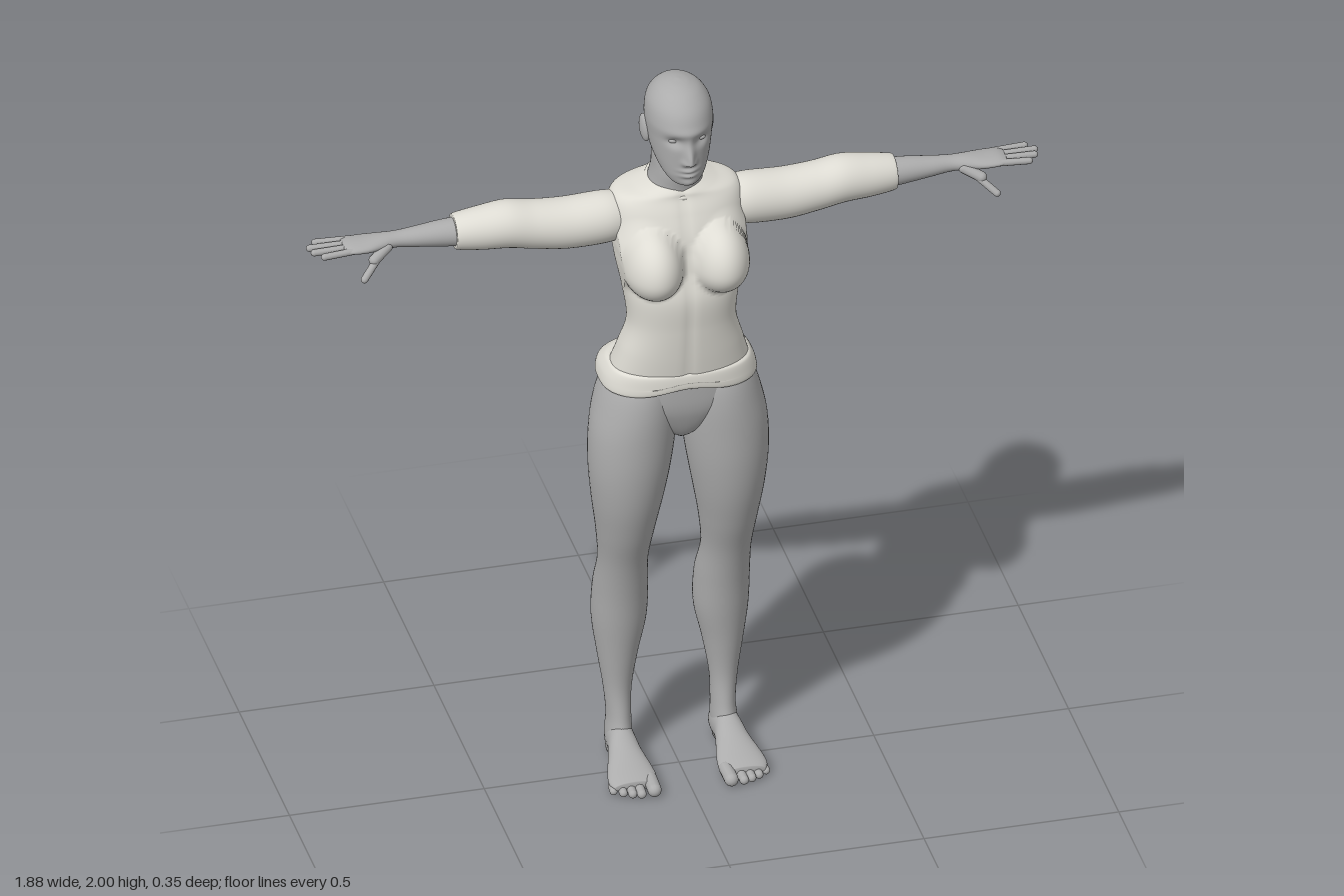
import * as THREE from 'three';

const skin = new THREE.MeshStandardMaterial({ color: 0xacacac });
skin.name = 'skin grey';
const cloth = new THREE.MeshStandardMaterial({ color: 0xdedcd4 });
cloth.name = 'cloth off-white';

const bell = (d, w) => Math.exp(-((d / w) ** 2));

function catmull(a, b, c, d, t) {
  return 0.5 * (2 * b + (c - a) * t + (2 * a - 5 * b + 4 * c - d) * t * t + (3 * b - a - 3 * c + d) * t * t * t);
}

// Smooth skin through sections [t, aMin, aMax, bMin, bMax] along an axis, t ascending.
// Axis y: a = x, b = z.  Axis x: a = z, b = y.  Axis z: a = y, b = x.
function loft(axis, sections, { rings = 40, sides = 40, power = 2, warp } = {}) {
  const pos = [], index = [], n = sections.length;
  const put = (t, a, b) => {
    const p = axis === 'y' ? new THREE.Vector3(a, t, b)
      : axis === 'x' ? new THREE.Vector3(t, b, a) : new THREE.Vector3(b, a, t);
    if (warp) warp(p);
    pos.push(p.x, p.y, p.z);
  };
  const round = (v) => Math.sign(v) * Math.abs(v) ** (2 / power);
  const at = (u) => {
    const i = Math.min(n - 2, Math.floor(u * (n - 1))), f = u * (n - 1) - i;
    const s = (k) => sections[Math.max(0, Math.min(n - 1, k))];
    return sections[0].map((_, c) => catmull(s(i - 1)[c], s(i)[c], s(i + 1)[c], s(i + 2)[c], f));
  };
  for (let i = 0; i <= rings; i++) {
    const [t, a0, a1, b0, b1] = at(i / rings);
    for (let j = 0; j < sides; j++) {
      const w = (j / sides) * Math.PI * 2;
      put(t, (a0 + a1) / 2 + ((a1 - a0) / 2) * round(Math.cos(w)), (b0 + b1) / 2 + ((b1 - b0) / 2) * round(Math.sin(w)));
    }
  }
  for (let i = 0; i < rings; i++) for (let j = 0; j < sides; j++) {
    const p = i * sides + j, q = i * sides + (j + 1) % sides;
    index.push(p, p + sides, q, q, p + sides, q + sides);
  }
  // End caps
  for (const [s, ring] of [[sections[0], 0], [sections[n - 1], rings]]) {
    put(s[0], (s[1] + s[2]) / 2, (s[3] + s[4]) / 2);
    const c = pos.length / 3 - 1;
    for (let j = 0; j < sides; j++) {
      const p = ring * sides + j, q = ring * sides + (j + 1) % sides;
      index.push(c, ...(ring ? [q, p] : [p, q]));
    }
  }
  const g = new THREE.BufferGeometry();
  g.setAttribute('position', new THREE.Float32BufferAttribute(pos, 3));
  g.setIndex(index);
  g.computeVertexNormals();
  return g;
}

const ellipsoid = (x, y, z, rx, ry, rz) =>
  new THREE.SphereGeometry(1, 28, 20).scale(rx, ry, rz).translate(x, y, z);

function finger(from, to, r) {
  const a = new THREE.Vector3(...from), b = new THREE.Vector3(...to), d = b.clone().sub(a);
  const g = new THREE.CapsuleGeometry(r, d.length() - r, 6, 12);
  g.applyQuaternion(new THREE.Quaternion().setFromUnitVectors(new THREE.Vector3(0, 1, 0), d.normalize()));
  return g.translate((a.x + b.x) / 2, (a.y + b.y) / 2, (a.z + b.z) / 2);
}

// Baked mirror image across x = 0
function mirrored(g) {
  const m = g.clone(), p = m.attributes.position, nn = m.attributes.normal, ix = m.index;
  for (let i = 0; i < p.count; i++) { p.setX(i, -p.getX(i)); nn.setX(i, -nn.getX(i)); }
  for (let i = 0; i < ix.count; i += 3) {
    const k = ix.getX(i);
    ix.setX(i, ix.getX(i + 1));
    ix.setX(i + 1, k);
  }
  return m;
}

// Nose, eye sockets, brow, lips and chin
function shapeFace(p) {
  if (p.z < 0.03) return;
  const { x, y } = p, ax = Math.abs(x);
  p.z += 0.024 * bell(x, 0.012) * bell(y - 1.826, y < 1.826 ? 0.011 : 0.038)
    + 0.007 * bell(ax - 0.013, 0.007) * bell(y - 1.822, 0.009)
    - 0.013 * bell(ax - 0.034, 0.019) * bell(y - 1.878, 0.014)
    + 0.004 * bell(x, 0.05) * bell(y - 1.905, 0.012)
    + 0.008 * bell(x, 0.02) * (bell(y - 1.798, 0.006) + bell(y - 1.783, 0.006))
    + 0.006 * bell(x, 0.02) * bell(y - 1.758, 0.012);
}

// Bust, spine groove and midline of the top
function shapeTorso(p) {
  if (p.z < -0.03) {
    p.z += 0.014 * bell(p.x, 0.025) * bell(p.y - 1.42, 0.2);
    return;
  }
  if (p.z < 0) return;
  const dx = (Math.abs(p.x) - 0.085) / 0.076, dy = (p.y - 1.508) / (p.y > 1.508 ? 0.108 : 0.082);
  const q = 1 - dx * dx - dy * dy, b = q > 0 ? 0.06 + 0.115 * Math.sqrt(q) : 0.06 + 0.06 * q;
  const k = 0.02, h = Math.max(k - Math.abs(p.z - b), 0) / k;
  p.z = Math.max(p.z, b) + (h * h * k) / 4 - 0.004 * bell(p.x, 0.012);
}

// Lifted front hem and cleft back of the waistband
function shapeBand(p) {
  if (p.z > 0 && p.y < 1.16) p.y += 0.018 * bell(p.x, 0.08);
  if (p.z < -0.05) p.z += 0.03 * bell(p.x, 0.025);
}

export function createModel() {
  const model = new THREE.Group();
  model.name = 'figure';
  const add = (name, g, mat = skin) => {
    const m = new THREE.Mesh(g, mat);
    m.name = name;
    model.add(m);
  };
  const pair = (name, g, mat) => {
    add(name + 'Left', g, mat);
    add(name + 'Right', mirrored(g), mat);
  };

  // Head and neck
  add('head', loft('y', [
    [1.746, -0.022, 0.022, 0.04, 0.086], [1.755, -0.038, 0.038, 0.02, 0.098], [1.775, -0.054, 0.054, -0.02, 0.104],
    [1.8, -0.066, 0.066, -0.065, 0.106], [1.83, -0.075, 0.075, -0.1, 0.107], [1.87, -0.081, 0.081, -0.117, 0.108],
    [1.91, -0.084, 0.084, -0.121, 0.109], [1.95, -0.077, 0.077, -0.112, 0.093], [1.98, -0.056, 0.056, -0.083, 0.062],
    [1.995, -0.028, 0.028, -0.046, 0.027], [2, -0.003, 0.003, -0.014, -0.008],
  ], { rings: 110, sides: 112, warp: shapeFace }));
  add('neck', loft('y', [
    [1.66, -0.08, 0.08, -0.12, 0.03], [1.7, -0.069, 0.069, -0.116, 0.034], [1.74, -0.062, 0.062, -0.108, 0.04],
    [1.78, -0.061, 0.061, -0.103, 0.035], [1.84, -0.06, 0.06, -0.1, 0.02],
  ]));
  pair('ear', ellipsoid(0, 0, 0, 0.011, 0.037, 0.021).rotateX(-0.2).rotateY(-0.25).translate(0.083, 1.862, -0.022));
  pair('eye', ellipsoid(0.034, 1.878, 0.077, 0.014, 0.008, 0.012));

  // Top, collar and waistband
  add('top', loft('y', [
    [1.185, -0.178, 0.178, -0.11, 0.1], [1.25, -0.159, 0.159, -0.088, 0.108], [1.33, -0.138, 0.138, -0.072, 0.115],
    [1.42, -0.147, 0.147, -0.095, 0.12], [1.5, -0.16, 0.16, -0.127, 0.1], [1.58, -0.168, 0.168, -0.146, 0.085],
    [1.64, -0.171, 0.171, -0.146, 0.062], [1.674, -0.155, 0.155, -0.138, 0.045], [1.69, -0.105, 0.105, -0.128, 0.04],
    [1.702, -0.07, 0.07, -0.118, 0.03],
  ], { rings: 100, sides: 112, power: 2.3, warp: shapeTorso }), cloth);
  add('collar', new THREE.TorusGeometry(1, 0.1, 10, 48).rotateX(Math.PI / 2).scale(0.07, 0.07, 0.077)
    .rotateX(0.2).translate(0, 1.692, -0.04), cloth);
  add('waistband', loft('y', [
    [1.136, -0.192, 0.192, -0.152, 0.097], [1.143, -0.2, 0.2, -0.168, 0.106], [1.17, -0.195, 0.195, -0.165, 0.106],
    [1.193, -0.182, 0.182, -0.132, 0.103], [1.2, -0.172, 0.172, -0.11, 0.095],
  ], { sides: 96, power: 2.7, warp: shapeBand }), cloth);

  // Hips
  add('pelvis', loft('y', [
    [0.975, -0.015, 0.015, -0.05, 0.03], [1.0, -0.05, 0.05, -0.08, 0.06], [1.05, -0.13, 0.13, -0.11, 0.082],
    [1.1, -0.185, 0.185, -0.12, 0.092], [1.18, -0.175, 0.175, -0.12, 0.092],
  ], { power: 2.3 }));
  pair('buttock', ellipsoid(0.088, 1.088, -0.08, 0.088, 0.088, 0.095));

  // Legs
  pair('leg', loft('y', [
    [0.012, 0.108, 0.165, -0.125, -0.04], [0.06, 0.102, 0.169, -0.135, -0.025], [0.12, 0.103, 0.165, -0.131, -0.038],
    [0.2, 0.1, 0.172, -0.132, -0.045], [0.3, 0.083, 0.187, -0.15, -0.035], [0.4, 0.062, 0.2, -0.168, -0.02],
    [0.5, 0.061, 0.2, -0.157, -0.004], [0.6, 0.069, 0.196, -0.115, 0.02], [0.7, 0.058, 0.206, -0.108, 0.055],
    [0.8, 0.04, 0.22, -0.112, 0.083], [0.9, 0.022, 0.229, -0.116, 0.098], [1.0, 0.008, 0.227, -0.126, 0.102],
    [1.08, 0.002, 0.212, -0.142, 0.1], [1.14, 0.008, 0.192, -0.13, 0.09], [1.18, 0.02, 0.17, -0.11, 0.07],
  ], { rings: 80, sides: 48 }));

  // Feet and toes
  pair('foot', loft('z', [
    [-0.137, 0.025, 0.045, 0.125, 0.145], [-0.125, 0.008, 0.075, 0.108, 0.16], [-0.09, 0.004, 0.1, 0.1, 0.168],
    [-0.04, 0.005, 0.1, 0.1, 0.173], [0.0, 0.005, 0.078, 0.094, 0.182], [0.05, 0.004, 0.057, 0.083, 0.197],
    [0.09, 0.003, 0.043, 0.08, 0.203], [0.115, 0.008, 0.032, 0.092, 0.193],
  ]));
  for (let i = 0; i < 5; i++) {
    const r = i ? 0.0125 - i * 0.0006 : 0.018, x = i ? 0.108 + i * 0.0215 : 0.097;
    pair('toe' + (i + 1), finger([x, r + 0.003, 0.08], [x + 0.002, r, 0.148 - i * i * 0.0022], r));
  }

  // Sleeves, forearms and hands
  pair('sleeve', loft('x', [
    [0.12, -0.1, 0.01, 1.55, 1.66], [0.18, -0.106, 0.025, 1.539, 1.672], [0.28, -0.111, 0.021, 1.534, 1.666],
    [0.36, -0.111, 0.017, 1.544, 1.67], [0.43, -0.11, 0.015, 1.557, 1.68], [0.5, -0.106, 0.006, 1.56, 1.671],
    [0.558, -0.101, -0.005, 1.566, 1.66], [0.566, -0.096, -0.01, 1.572, 1.655],
  ], { rings: 56 }), cloth);
  pair('forearm', loft('x', [
    [0.53, -0.095, -0.012, 1.572, 1.65], [0.6, -0.09, -0.02, 1.579, 1.645], [0.66, -0.084, -0.027, 1.586, 1.638],
    [0.71, -0.08, -0.032, 1.592, 1.633], [0.75, -0.084, -0.024, 1.594, 1.632], [0.79, -0.092, -0.014, 1.596, 1.629],
    [0.83, -0.093, -0.013, 1.6, 1.626], [0.85, -0.086, -0.02, 1.606, 1.62],
  ]));
  [[-0.083, -0.094, 0.92], [-0.064, -0.07, 0.94], [-0.045, -0.046, 0.934], [-0.025, -0.02, 0.914]].forEach(([z0, z1, x], i) =>
    pair('finger' + (i + 1), finger([0.82, 1.613, z0], [x - 0.005, 1.61, z1], 0.0088)));
  pair('thumbBase', finger([0.735, 1.608, -0.038], [0.785, 1.585, -0.008], 0.014));
  pair('thumb', finger([0.77, 1.588, -0.014], [0.815, 1.55, 0.02], 0.0095));
  return model;
}
